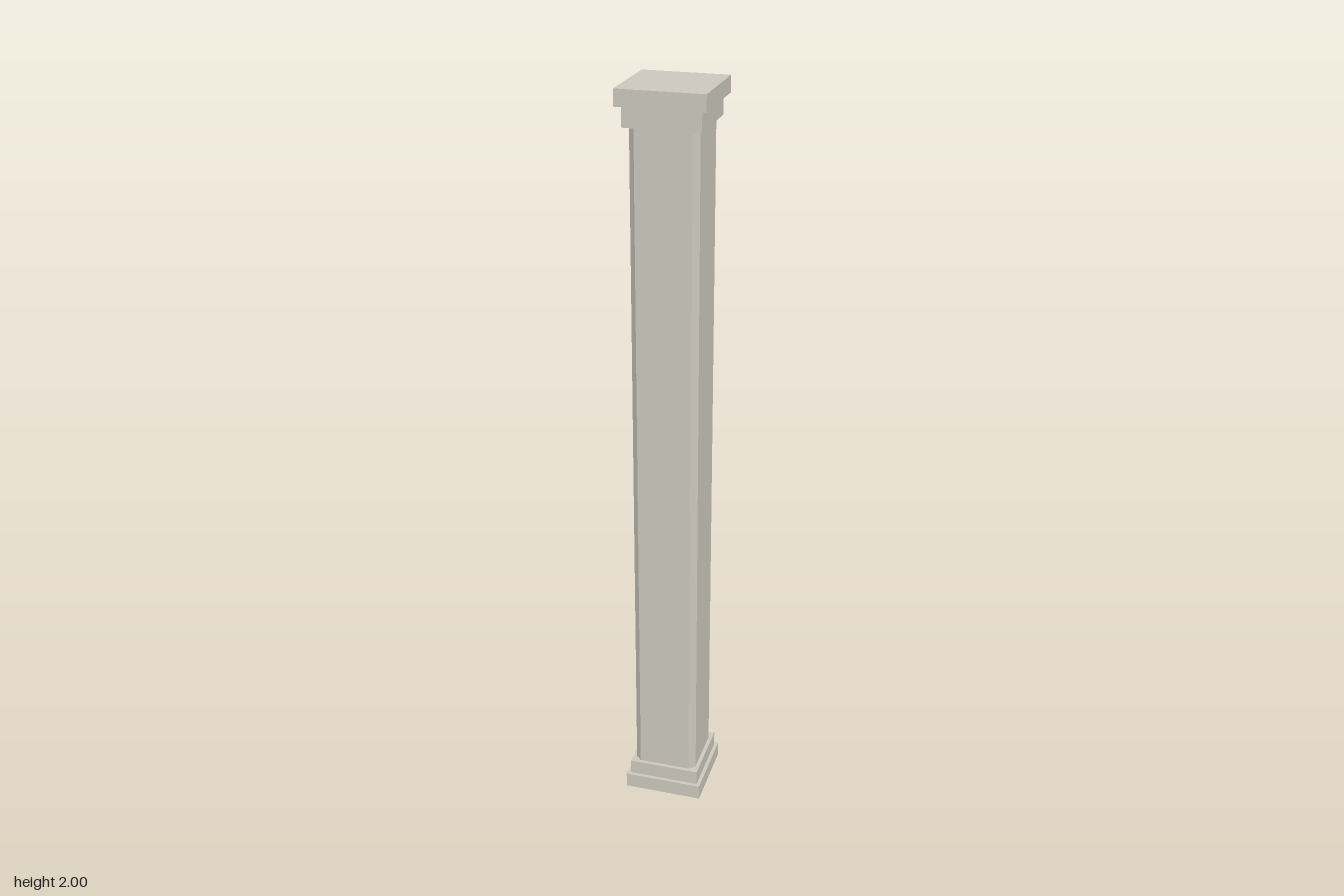
import * as THREE from 'three';

const stone = new THREE.MeshStandardMaterial({ color: 0xcbc7bd });
stone.name = 'paleStone';

// Square slab between two heights
function slab(name, half, y0, y1) {
  const mesh = new THREE.Mesh(new THREE.BoxGeometry(half * 2, y1 - y0, half * 2), stone);
  mesh.name = name;
  mesh.position.y = (y0 + y1) / 2;
  return mesh;
}

// Square shaft with chamfered corners
function chamferedShaft(half, chamfer, y0, y1) {
  const c = half - chamfer;
  const outline = new THREE.Shape([
    [half, -c], [half, c], [c, half], [-c, half],
    [-half, c], [-half, -c], [-c, -half], [c, -half],
  ].map(([x, y]) => new THREE.Vector2(x, y)));
  const geometry = new THREE.ExtrudeGeometry(outline, { depth: y1 - y0, bevelEnabled: false });
  geometry.rotateX(-Math.PI / 2);
  const mesh = new THREE.Mesh(geometry, stone);
  mesh.name = 'shaft';
  mesh.position.y = y0;
  return mesh;
}

export function createModel() {
  const column = new THREE.Group();
  column.name = 'squareColumn';
  column.add(
    slab('basePlinth', 0.108, 0, 0.042),
    slab('baseStep', 0.098, 0.042, 0.083),
    chamferedShaft(0.0875, 0.016, 0.083, 1.907),
    slab('capitalStep', 0.098, 1.907, 1.958),
    slab('capitalSlab', 0.112, 1.958, 2),
  );
  return column;
}
